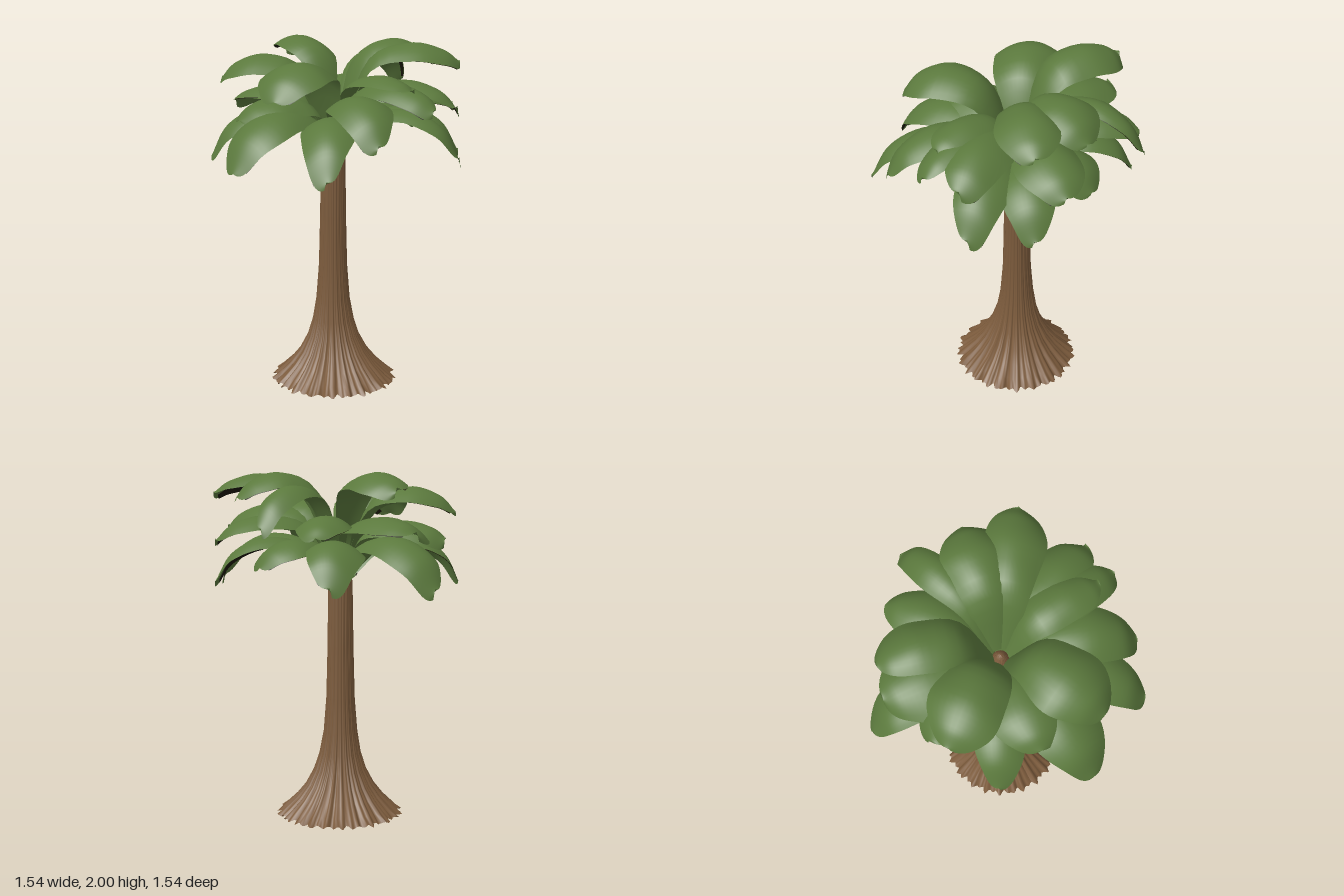
import * as THREE from 'three';

const bark = new THREE.MeshStandardMaterial({ name: 'bark brown', color: 0x7c5b3c, side: THREE.DoubleSide });
const leafGreen = new THREE.MeshStandardMaterial({ name: 'leaf green', color: 0x5b793d, side: THREE.DoubleSide });
const leafDark = new THREE.MeshStandardMaterial({ name: 'withered dark', color: 0x1c190b, side: THREE.DoubleSide });

const CX = 0.02, CZ = -0.033; // trunk axis

// Fluted lathe around the trunk axis with a ragged hem at the ground
function flutedLathe(name, profile) {
  const geo = new THREE.LatheGeometry(profile.map(([r, y]) => new THREE.Vector2(r, y)), 200);
  const p = geo.attributes.position;
  for (let i = 0; i < p.count; i++) {
    const x = p.getX(i), y = p.getY(i), z = p.getZ(i);
    const a = Math.atan2(z, x);
    const flare = Math.max(0, 1 - y / 0.5);
    const ridge = 0.5 * Math.sin(23 * a + 1.5 * Math.sin(3 * a) + 0.6 * Math.sin(5 * y))
      + 0.5 * Math.sin(47 * a + 2 * Math.sin(2 * a) + 0.8 * Math.sin(9 * y));
    const k = 1 + (0.03 + 0.035 * flare) * ridge;
    const hem = y < 0.01 ? 0.008 + 0.008 * Math.sin(37 * a) : 0;
    p.setXYZ(i, x * k + CX + 0.01 * flare, y + hem, z * k + CZ);
  }
  geo.computeVertexNormals();
  const mesh = new THREE.Mesh(geo, bark);
  mesh.name = name;
  return mesh;
}

const trunkProfile = [
  [0.35, 0], [0.305, 0.05], [0.245, 0.11], [0.192, 0.18], [0.147, 0.27], [0.117, 0.37], [0.096, 0.5],
  [0.081, 0.7], [0.074, 1], [0.069, 1.35], [0.062, 1.46], [0.03, 1.54], [0, 1.55],
];
// Hollow underside of the root skirt
const hollowProfile = [[0, 0.24], [0.09, 0.2], [0.15, 0.1], [0.19, 0.055], [0.27, 0.025], [0.35, 0]];

// Broad arching leaf surface: a spine from the crown to the blunt tip with a domed cross-section.
// The row range t0..t1 and column range s0..s1 select a piece; drop lowers it slightly.
function leafSurface([tipX, tipZ, startY, apexY, tipY, halfWidth], index, [t0, t1], [s0, s1], drop) {
  const dx = tipX - CX, dz = tipZ - CZ;
  const reach = Math.hypot(dx, dz);
  const at = (f, y) => new THREE.Vector3(CX + dx * f, y, CZ + dz * f);
  const spine = new THREE.CatmullRomCurve3([
    at(0.06, startY), at(0.28, startY + (apexY - startY) * 0.8), at(0.6, apexY),
    at(0.86, tipY + (apexY - tipY) * 0.66), at(1, tipY),
  ], false, 'catmullrom', 0.5);
  const rows = 24, cols = 12, pos = [], idx = [];
  for (let i = 0; i <= rows; i++) {
    const t = t0 + (t1 - t0) * (1 - Math.pow(1 - i / rows, 1.6));
    const c = spine.getPoint(t);
    const f = Math.min(1, Math.hypot(c.x - CX, c.z - CZ) / reach);
    const w = halfWidth * (0.04 + 0.96 * Math.pow(Math.max(0, Math.sin(Math.PI * Math.pow(f, 1.5))), 0.5));
    for (let j = 0; j <= cols; j++) {
      const s = s0 + (s1 - s0) * (j / cols);
      const across = s * w * (1 + 0.05 * Math.sin(11 * f + index * 1.7 + s));
      const droop = 0.45 * w * s * s + 0.03 * s * f * Math.sin(index * 2.3) + drop;
      pos.push(c.x - dz / reach * across, c.y - droop, c.z + dx / reach * across);
      if (i < rows && j < cols) {
        const a = i * (cols + 1) + j, b = a + cols + 1;
        idx.push(a, a + 1, b, a + 1, b + 1, b);
      }
    }
  }
  const geo = new THREE.BufferGeometry();
  geo.setAttribute('position', new THREE.Float32BufferAttribute(pos, 3));
  geo.setIndex(idx);
  geo.computeVertexNormals();
  return geo;
}

function makeLeaf(leaf, index) {
  const group = new THREE.Group();
  group.name = 'leaf' + (index + 1);
  const blade = new THREE.Mesh(leafSurface(leaf, index, [0, 1], [-1, 1], 0), leafGreen);
  blade.name = 'blade';
  // Withered margin under one edge of the blade, towards the tip
  const margin = index % 2 ? [0.6, 0.97] : [-0.97, -0.6];
  const patch = new THREE.Mesh(leafSurface(leaf, index, [0.52, 0.94], margin, 0.007), leafDark);
  patch.name = 'witheredMargin';
  group.add(blade, patch);
  return group;
}

// Leaf tiers: tip x, tip z, start height, arch height, tip height, half width
const tiers = {
  lowerLeaves: [
    [0.08, 0.77, 1.42, 1.65, 1.36, 0.19],
    [0.57, 0.57, 1.42, 1.63, 1.34, 0.15],
    [0.73, -0.31, 1.42, 1.64, 1.37, 0.15],
    [0.51, -0.56, 1.42, 1.63, 1.37, 0.15],
    [0.08, -0.6, 1.42, 1.63, 1.48, 0.18],
    [-0.4, -0.52, 1.42, 1.63, 1.38, 0.16],
    [-0.77, -0.12, 1.42, 1.65, 1.37, 0.16],
    [-0.38, 0.54, 1.42, 1.63, 1.36, 0.14],
  ],
  middleLeaves: [
    [-0.12, 0.55, 1.46, 1.71, 1.6, 0.2],
    [0.69, 0.31, 1.46, 1.74, 1.51, 0.16],
    [0.74, -0.27, 1.49, 1.81, 1.66, 0.16],
    [0.38, -0.66, 1.48, 1.76, 1.62, 0.18],
    [-0.35, -0.59, 1.48, 1.77, 1.66, 0.15],
    [-0.66, -0.13, 1.48, 1.76, 1.67, 0.22],
    [-0.58, 0.18, 1.46, 1.73, 1.62, 0.16],
  ],
  upperLeaves: [
    [0.23, 0.61, 1.52, 1.92, 1.74, 0.2],
    [0.77, -0.03, 1.5, 1.8, 1.67, 0.13],
    [0.64, -0.03, 1.51, 1.84, 1.76, 0.15],
    [0.51, -0.56, 1.53, 1.99, 1.88, 0.17],
    [0.2, -0.65, 1.53, 2, 1.86, 0.18],
    [-0.14, -0.77, 1.52, 1.93, 1.69, 0.1],
    [-0.61, -0.25, 1.53, 2, 1.9, 0.16],
    [-0.54, 0.32, 1.52, 1.92, 1.78, 0.2],
  ],
};

export function createModel() {
  const model = new THREE.Group();
  model.name = 'palmTree';
  model.add(flutedLathe('trunk', trunkProfile), flutedLathe('rootHollow', hollowProfile));
  for (const [name, leaves] of Object.entries(tiers)) {
    const tier = new THREE.Group();
    tier.name = name;
    leaves.forEach((leaf, i) => tier.add(makeLeaf(leaf, i)));
    model.add(tier);
  }
  return model;
}
